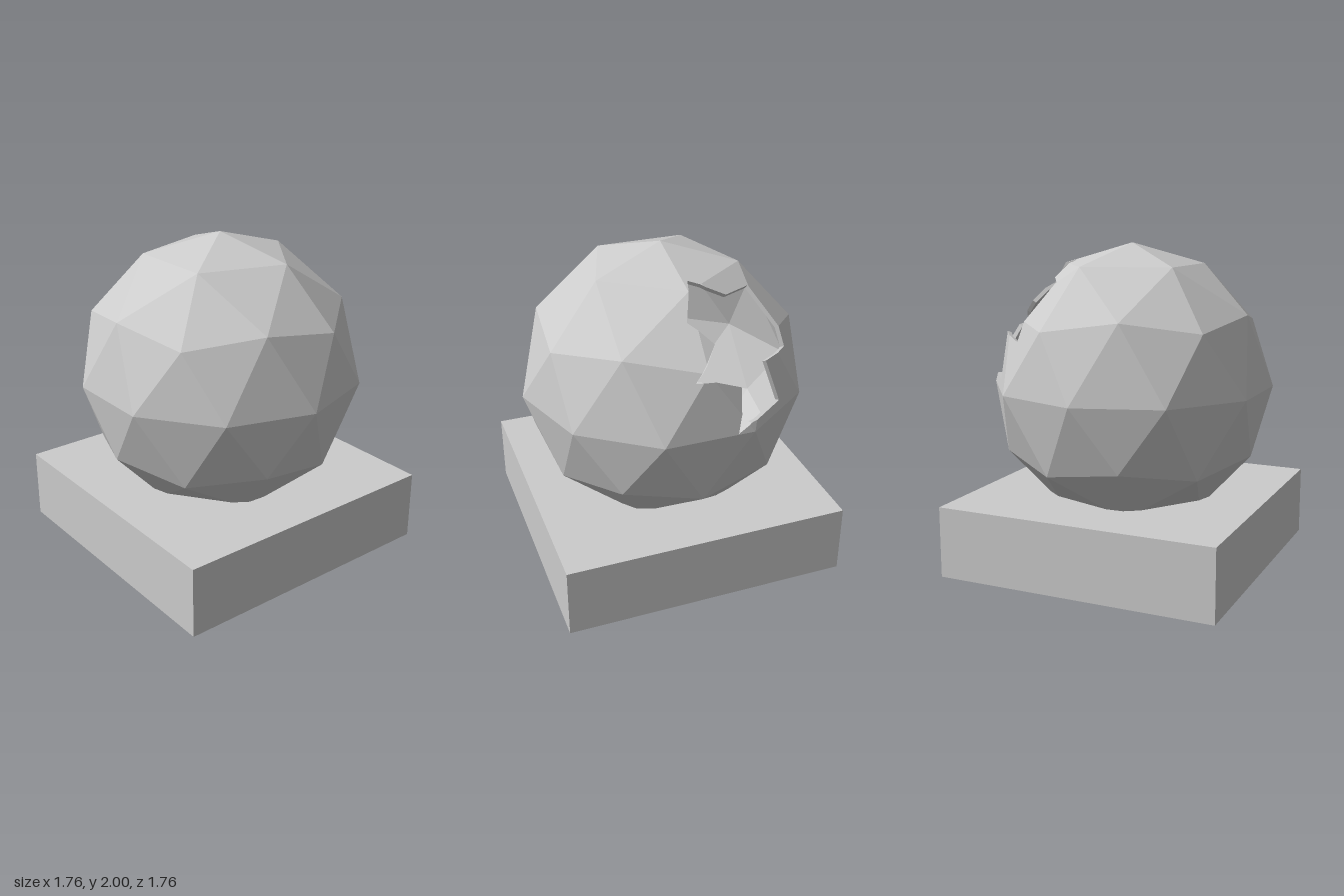
import * as THREE from 'three';

const RADIUS = 0.88, CENTRE_Y = 1.12, INNER = 0.97;

// Jagged outline of the break on the +x side, as [z, y]
const BREAK = [
  [-0.03, 1.89], [0.05, 1.735], [-0.08, 1.625], [0, 1.55], [0.075, 1.465], [-0.04, 1.46], [-0.21, 1.38],
  [-0.17, 1.125], [-0.25, 1.175], [-0.505, 1.18], [-0.4, 1.465], [-0.61, 1.43],
  [-0.435, 1.775], [-0.25, 1.79], [-0.13, 1.85],
];

// Splits a convex polygon by a plane through the origin: [inside, outside]
function split(poly, normal) {
  const inside = [], outside = [];
  poly.forEach((p, i) => {
    const q = poly[(i + 1) % poly.length];
    const d = normal.dot(p), e = normal.dot(q);
    if (d >= -1e-7) inside.push(p);
    if (d <= 1e-7) outside.push(p);
    if ((d > 1e-7 && e < -1e-7) || (d < -1e-7 && e > 1e-7)) {
      const cut = p.clone().lerp(q, d / (d - e));
      inside.push(cut);
      outside.push(cut);
    }
  });
  return [inside, outside];
}

// Removes the cone over a triangle from one convex polygon
function subtract(poly, planes) {
  const kept = [];
  let rest = poly;
  for (const n of planes) {
    const [inside, outside] = split(rest, n);
    if (inside.length < 3) return [poly];
    if (outside.length > 2) kept.push(outside);
    rest = inside;
  }
  return kept;
}

// Turns convex polygons into a flat-shaded geometry
function polygonsToGeometry(polys) {
  const points = [];
  for (const p of polys) {
    for (let i = 1; i < p.length - 1; i++) {
      const area = p[i].clone().sub(p[0]).cross(p[i + 1].clone().sub(p[0])).length();
      if (area > 1e-7) points.push(p[0], p[i], p[i + 1]);
    }
  }
  const geometry = new THREE.BufferGeometry().setFromPoints(points);
  geometry.computeVertexNormals();
  return geometry;
}

export function createModel() {
  const model = new THREE.Group();
  const grey = new THREE.MeshStandardMaterial({ color: 0xcccccc, flatShading: true });
  const shellGrey = grey.clone();
  shellGrey.side = THREE.DoubleSide;

  // Square plinth
  const plinth = new THREE.Mesh(new THREE.BoxGeometry(1.76, 0.44, 1.76), grey);
  plinth.name = 'plinth';
  plinth.position.y = 0.22;
  model.add(plinth);

  // Faceted ball with a corner pointing straight up
  const ball = new THREE.IcosahedronGeometry(RADIUS, 1);
  ball.rotateZ(-Math.atan(2 / (1 + Math.sqrt(5))));
  const solid = new THREE.Mesh(ball, grey);
  const pos = ball.attributes.position;
  let faces = [];
  for (let i = 0; i < pos.count; i += 3) {
    faces.push([0, 1, 2].map((k) => new THREE.Vector3().fromBufferAttribute(pos, i + k)));
  }

  // Project the break outline onto the facets
  const ray = new THREE.Raycaster();
  const rim = BREAK.map(([z, y]) => {
    ray.set(new THREE.Vector3(2, y - CENTRE_Y, z), new THREE.Vector3(-1, 0, 0));
    return ray.intersectObject(solid)[0].point.clone();
  });

  // Cut the break out of the facets and collect the removed cones' rim pieces
  const outline = BREAK.map(([z, y]) => new THREE.Vector2(-z, y));
  const original = faces;
  for (const tri of THREE.ShapeUtils.triangulateShape(outline, [])) {
    let [a, b, c] = tri.map((i) => rim[i]);
    if (a.clone().cross(b).dot(c) < 0) [b, c] = [c, b];
    const planes = [[a, b], [b, c], [c, a]].map(([p, q]) => p.clone().cross(q).normalize());
    faces = faces.flatMap((f) => subtract(f, planes));
  }

  // Broken edge: follow each rim segment across the facets it crosses
  const walls = [];
  rim.forEach((a, i) => {
    const b = rim[(i + 1) % rim.length];
    const n = a.clone().cross(b).normalize();
    const startSide = n.clone().cross(a), endSide = b.clone().cross(n);
    for (const f of original) {
      const on = [];
      f.forEach((p, k) => {
        const q = f[(k + 1) % 3], d = n.dot(p), e = n.dot(q);
        if (d * e < 0) on.push(p.clone().lerp(q, d / (d - e)));
      });
      if (on.length < 2) continue;
      let line = on;
      for (const side of [startSide, endSide]) {
        const [d, e] = line.map((p) => side.dot(p));
        if (d < 0 && e < 0) { line = null; break; }
        if (d < 0) line = [line[0].clone().lerp(line[1], d / (d - e)), line[1]];
        else if (e < 0) line = [line[0], line[0].clone().lerp(line[1], d / (d - e))];
      }
      if (!line) continue;
      const [p, q] = line;
      walls.push([p, q, q.clone().multiplyScalar(INNER), p.clone().multiplyScalar(INNER)]);
    }
  });

  // Outer skin, inner skin and broken edge make up the hollow ball
  const lining = faces.map((f) => f.map((p) => p.clone().multiplyScalar(INNER)).reverse());
  const shell = new THREE.Group();
  shell.name = 'brokenBall';
  shell.position.y = CENTRE_Y;
  for (const [name, polys] of [['outerShell', faces], ['innerShell', lining], ['brokenEdge', walls]]) {
    const mesh = new THREE.Mesh(polygonsToGeometry(polys), shellGrey);
    mesh.name = name;
    shell.add(mesh);
  }
  model.add(shell);
  return model;
}
